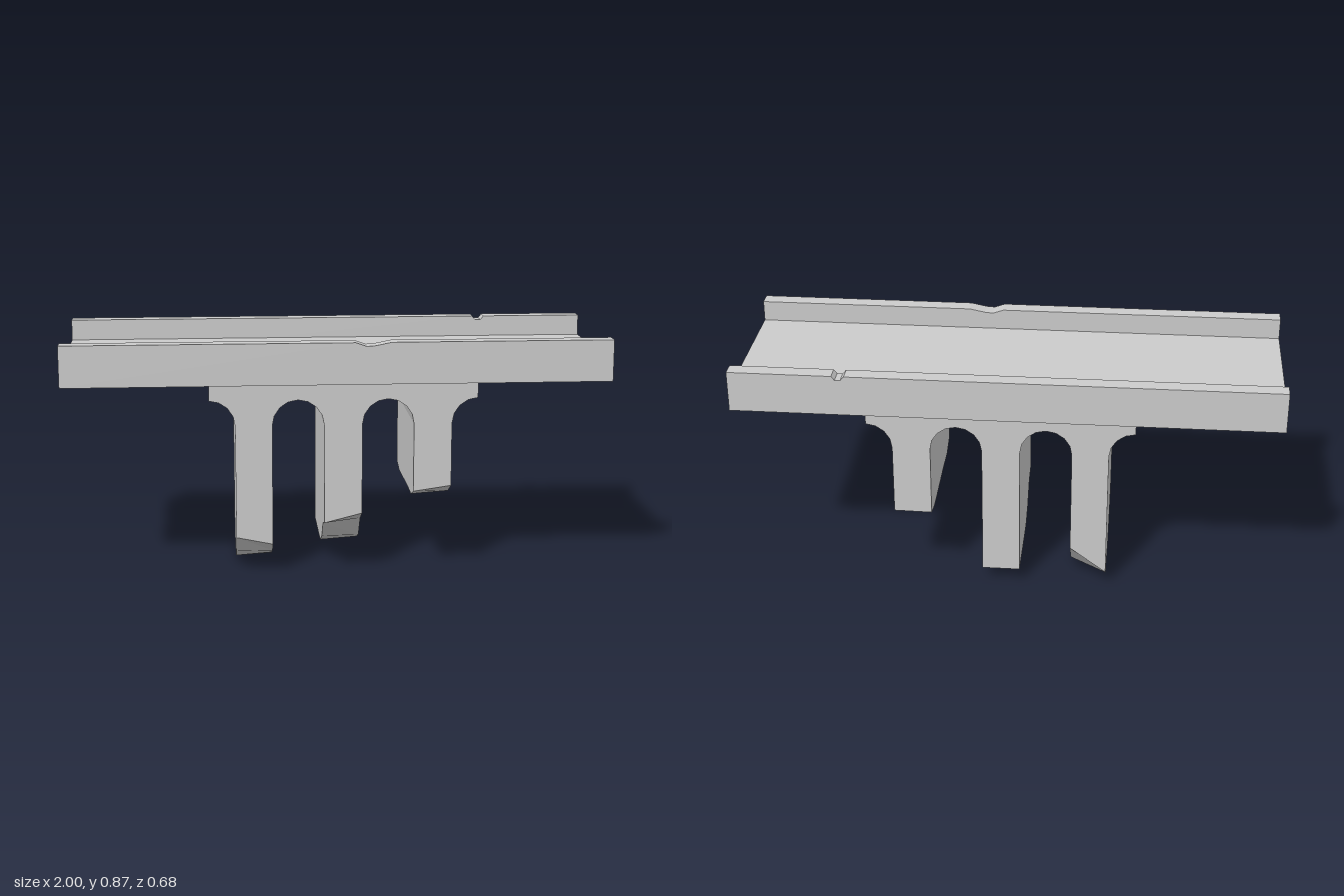
import * as THREE from 'three';

const DECK_BOTTOM = 0.72, FLOOR = 0.795, TOP = 0.873;
const HALF_W = 0.34, INNER = 0.282, PIER_Z = 0.28;
const SPRING = 0.56, R = 0.095, STUB = 0.1;

// Each pier: x range and broken lower edge on its left (lo) and right (hi) side,
// sampled from the back (z = -0.28) to the front (z = 0.28)
const PIERS = [
  { x0: -0.375, x1: -0.24,
    lo: [0.06, 0.006, 0.0, 0.0, 0.002, 0.025, 0.065, 0.14],
    hi: [0.16, 0.07, 0.022, 0.03, 0.01, 0.035, 0.065, 0.112] },
  { x0: -0.05, x1: 0.09,
    lo: [0.055, 0.055, 0.055, 0.055, 0.058, 0.095, 0.17, 0.19],
    hi: [0.055, 0.055, 0.055, 0.055, 0.068, 0.097, 0.185, 0.225] },
  { x0: 0.28, x1: 0.42,
    lo: [0.29, 0.272, 0.272, 0.275, 0.278, 0.278, 0.275, 0.305],
    hi: [0.292, 0.27, 0.272, 0.279, 0.283, 0.281, 0.285, 0.325] },
];

const material = new THREE.MeshStandardMaterial({ color: 0xcccccc, flatShading: true });

function addMesh(group, name, geometry) {
  const mesh = new THREE.Mesh(geometry, material);
  mesh.name = name;
  group.add(mesh);
  return mesh;
}

// Parapet with a chipped top edge; chip is a list of [x, depth]
function parapet(chip, z) {
  const shape = new THREE.Shape([
    new THREE.Vector2(-1, DECK_BOTTOM),
    new THREE.Vector2(1, DECK_BOTTOM),
    new THREE.Vector2(1, TOP),
    ...chip.map(([x, d]) => new THREE.Vector2(x, TOP - d)).reverse(),
    new THREE.Vector2(-1, TOP),
  ]);
  const geometry = new THREE.ExtrudeGeometry(shape, { depth: HALF_W - INNER, bevelEnabled: false });
  return geometry.translate(0, 0, z);
}

// Arched support: one outline extruded in steps, then the pier feet are broken off
function arches() {
  const points = [];
  const add = (x, y) => points.push(new THREE.Vector2(x, y));
  const arc = (cx, from, to, n) => {
    for (let i = 0; i <= n; i++) {
      const a = (from + (to - from) * i / n) * Math.PI;
      add(cx + R * Math.cos(a), SPRING + R * Math.sin(a));
    }
  };
  const first = PIERS[0], last = PIERS[PIERS.length - 1];
  add(first.x0 - R, DECK_BOTTOM);
  add(last.x1 + R, DECK_BOTTOM);
  arc(last.x1 + R, 0.5, 1, 4);
  for (let i = PIERS.length - 1; i >= 0; i--) {
    const p = PIERS[i];
    add(p.x1, STUB);
    add(p.x0, STUB);
    if (i > 0) arc(p.x0 - R, 0, 1, 8);
    else arc(p.x0 - R, 0, 0.5, 4);
  }

  const steps = first.lo.length - 1;
  const geometry = new THREE.ExtrudeGeometry(new THREE.Shape(points),
    { depth: 2 * PIER_Z, steps, bevelEnabled: false });
  geometry.translate(0, 0, -PIER_Z);

  const pos = geometry.attributes.position;
  for (let i = 0; i < pos.count; i++) {
    if (pos.getY(i) > STUB + 0.01) continue;
    const x = pos.getX(i);
    const k = Math.round((pos.getZ(i) + PIER_Z) / (2 * PIER_Z) * steps);
    const p = PIERS.find((q) => x > q.x0 - 0.01 && x < q.x1 + 0.01);
    pos.setY(i, x < (p.x0 + p.x1) / 2 ? p.lo[k] : p.hi[k]);
  }
  geometry.computeVertexNormals();
  return geometry;
}

export function createModel() {
  const model = new THREE.Group();
  model.name = 'brokenAqueduct';

  // Channel floor
  const floor = addMesh(model, 'channelFloor',
    new THREE.BoxGeometry(2, FLOOR - DECK_BOTTOM, 2 * INNER));
  floor.position.y = (FLOOR + DECK_BOTTOM) / 2;

  // Side walls with small chips
  addMesh(model, 'frontParapet',
    parapet([[0.06, 0], [0.1, 0.014], [0.13, 0.012], [0.19, 0]], INNER));
  addMesh(model, 'backParapet',
    parapet([[0.575, 0], [0.588, 0.015], [0.608, 0.015], [0.62, 0]], -HALF_W));

  // Arches and broken piers
  addMesh(model, 'archedPiers', arches());
  return model;
}
